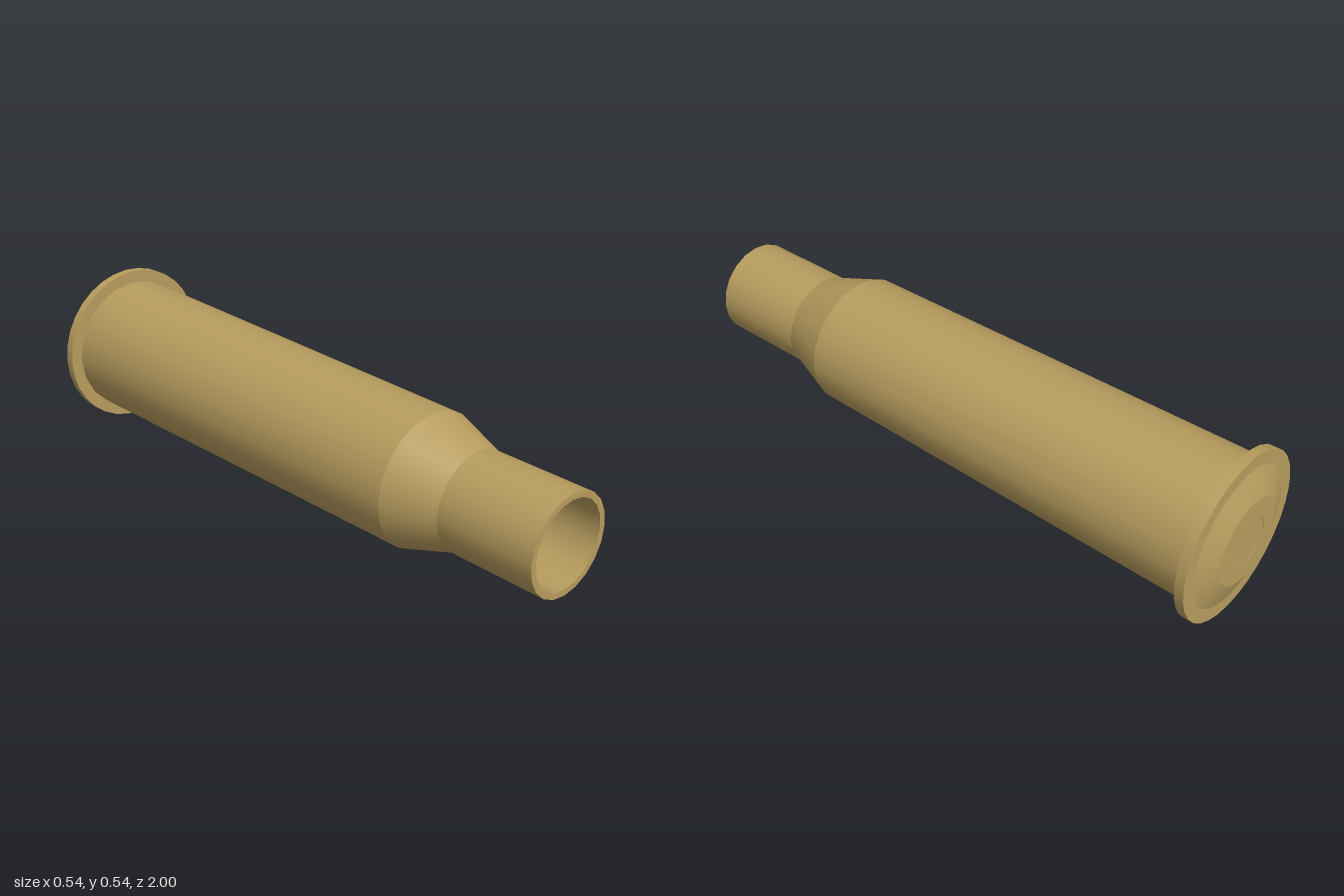
import * as THREE from 'three';
import { mergeGeometries } from 'three/addons/utils/BufferGeometryUtils.js';

const AXIS_Y = 0.27;

// Turn a profile of [radius, z] points around the z axis.
// Each band is its own lathe, so the edges between bands stay sharp.
function turned(name, profile, sides, material) {
  const bands = [];
  for (let i = 0; i < profile.length - 1; i++) {
    const pair = [profile[i], profile[i + 1]].map(([r, z]) => new THREE.Vector2(r, z));
    bands.push(new THREE.LatheGeometry(pair, sides));
  }
  const geometry = mergeGeometries(bands).rotateX(Math.PI / 2);
  const mesh = new THREE.Mesh(geometry, material);
  mesh.name = name;
  mesh.position.y = AXIS_Y;
  return mesh;
}

export function createModel() {
  const group = new THREE.Group();
  group.name = 'emptyCase';
  const brass = new THREE.MeshStandardMaterial({ color: 0xb89d5e });

  // Tapered body, shoulder and open neck, with a hollow inside
  group.add(turned('caseBody', [
    [0.23, -0.95], [0.215, 0.5], [0.158, 0.67], [0.158, 1],
    [0.138, 1], [0.138, 0.665], [0.197, 0.49], [0.212, -0.92], [0, -0.92],
  ], 20, brass));

  // Extraction rim with a bevelled base and a pocket for the primer
  group.add(turned('rim', [
    [0.08, -0.99], [0.08, -1], [0.14, -1], [0.225, -0.97],
    [0.27, -0.97], [0.27, -0.94], [0.21, -0.94],
  ], 32, brass));

  // Primer, almost flush with the base
  group.add(turned('primer', [[0, -0.998], [0.08, -0.998], [0.08, -0.98]], 32, brass));

  return group;
}
